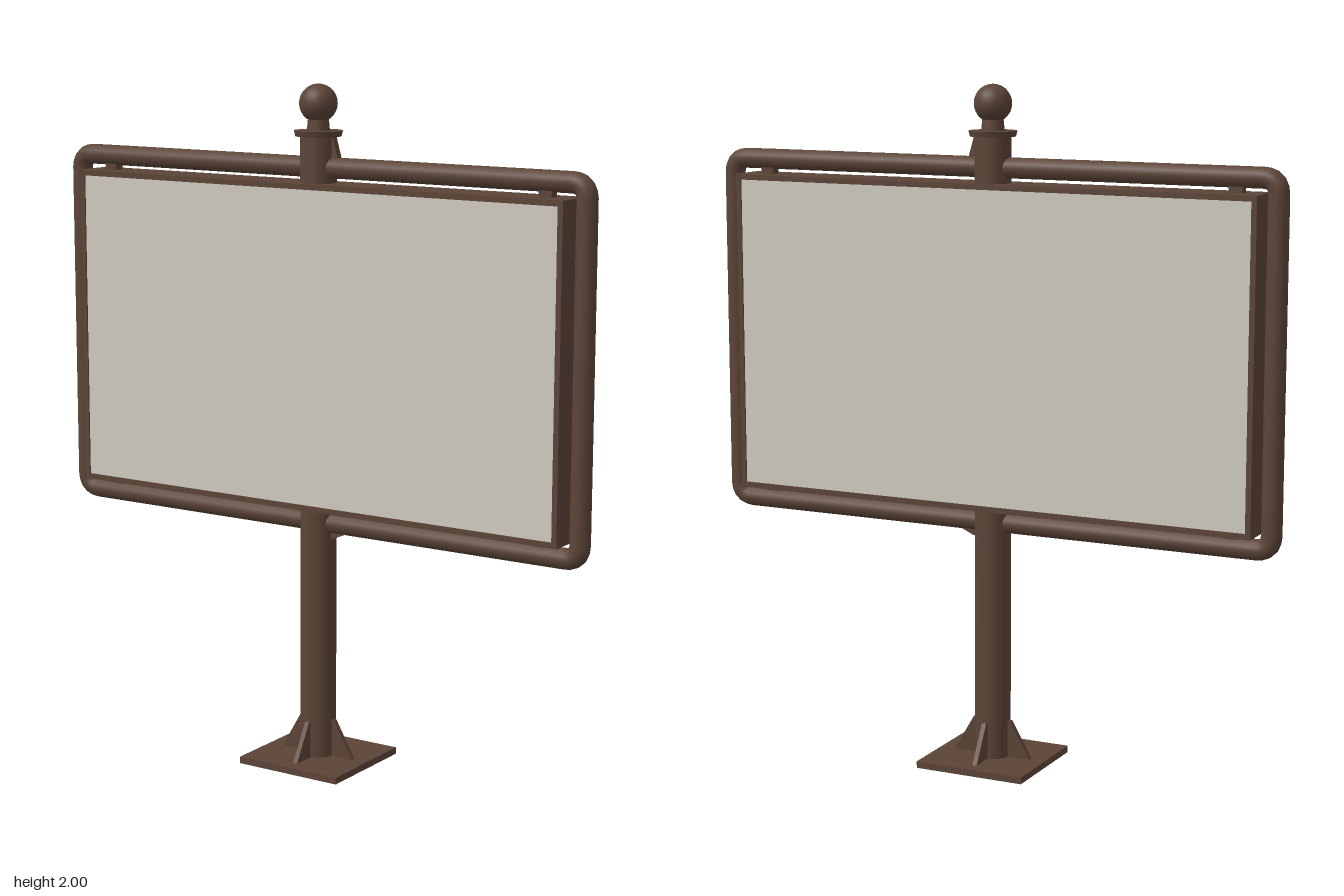
import * as THREE from 'three';

export function createModel() {
  const model = new THREE.Group();
  const brown = new THREE.MeshStandardMaterial({ color: 0x5c4437 });
  brown.name = 'brown metal';
  const pale = new THREE.MeshStandardMaterial({ color: 0xd0ccc2 });
  pale.name = 'pale panel';

  const add = (name, geometry, material = brown, x = 0, y = 0, z = 0) => {
    const mesh = new THREE.Mesh(geometry, material);
    mesh.name = name;
    mesh.position.set(x, y, z);
    model.add(mesh);
    return mesh;
  };
  const rect = (Type, x, y0, y1) => {
    const s = new Type();
    s.moveTo(-x, y0); s.lineTo(x, y0); s.lineTo(x, y1); s.lineTo(-x, y1); s.closePath();
    return s;
  };
  // Flat plate from outline points, centred on z = 0
  const plate = (points, depth) => new THREE.ExtrudeGeometry(
    new THREE.Shape(points.map(p => new THREE.Vector2(...p))), { depth, bevelEnabled: false }
  ).translate(0, 0, -depth / 2);

  // Base plate with four stiffening ribs
  add('basePlate', new THREE.BoxGeometry(0.34, 0.02, 0.33), brown, 0, 0.01, 0);
  const rib = plate([[0.03, 0.018], [0.125, 0.018], [0.115, 0.035], [0.06, 0.13], [0.03, 0.13]], 0.014);
  for (let i = 0; i < 4; i++) add('baseRib', rib).rotation.y = i * Math.PI / 2;

  // Post: lower column and the shorter upper stub
  add('post', new THREE.CylinderGeometry(0.053, 0.053, 0.77, 24), brown, 0, 0.395, 0);
  add('upperPost', new THREE.CylinderGeometry(0.053, 0.053, 0.16, 24), brown, 0, 1.78, 0);

  // Collar, neck and ball finial
  add('collar', new THREE.CylinderGeometry(0.07, 0.066, 0.016, 24), brown, 0, 1.86, 0);
  add('finialNeck', new THREE.CylinderGeometry(0.03, 0.034, 0.04, 16), brown, 0, 1.884, 0);
  add('finialBall', new THREE.SphereGeometry(0.055, 20, 14), brown, 0, 1.945, 0);

  // Small gussets where the post meets the tube frame
  add('upperGusset', plate([[0.04, 1.78], [0.076, 1.78], [0.056, 1.85], [0.04, 1.85]], 0.02));
  add('lowerGusset', plate([[0.04, 0.685], [0.06, 0.685], [0.105, 0.705], [0.04, 0.71]], 0.02));

  // Rounded tube frame: straight runs joined by quarter bends
  const X = 0.86, Y0 = 0.73, Y1 = 1.764, R = 0.045, T = 0.03;
  const path = new THREE.CurvePath();
  const corners = [[X, Y0, 1, -1], [X, Y1, 1, 1], [-X, Y1, -1, 1], [-X, Y0, -1, -1]];
  const ends = corners.map(([x, y, sx, sy], i) => {
    const onSide = new THREE.Vector3(x, y - sy * R, 0);
    const onRail = new THREE.Vector3(x - sx * R, y, 0);
    const corner = new THREE.Vector3(x, y, 0);
    return i % 2 ? [onSide, corner, onRail] : [onRail, corner, onSide];
  });
  ends.forEach((e, i) => {
    path.add(new THREE.QuadraticBezierCurve3(...e));
    path.add(new THREE.LineCurve3(e[2], ends[(i + 1) % 4][0]));
  });
  add('tubeFrame', new THREE.TubeGeometry(path, 400, T, 14, true));

  // Sign casing with a narrow rim, and the recessed panel seen on both faces
  const casing = rect(THREE.Shape, 0.82, 0.77, 1.72);
  casing.holes.push(rect(THREE.Path, 0.804, 0.786, 1.704));
  add('signCasing', new THREE.ExtrudeGeometry(casing, { depth: 0.126, bevelEnabled: false })
    .translate(0, 0, -0.063));
  add('signPanel', new THREE.BoxGeometry(1.608, 0.918, 0.118), pale, 0, 1.245, 0);

  // Short brackets joining the casing to the tube frame
  for (const x of [-0.74, 0.74]) {
    for (const y of [0.762, 1.728]) add('bracket', new THREE.BoxGeometry(0.04, 0.04, 0.03), brown, x, y, 0);
  }
  return model;
}
